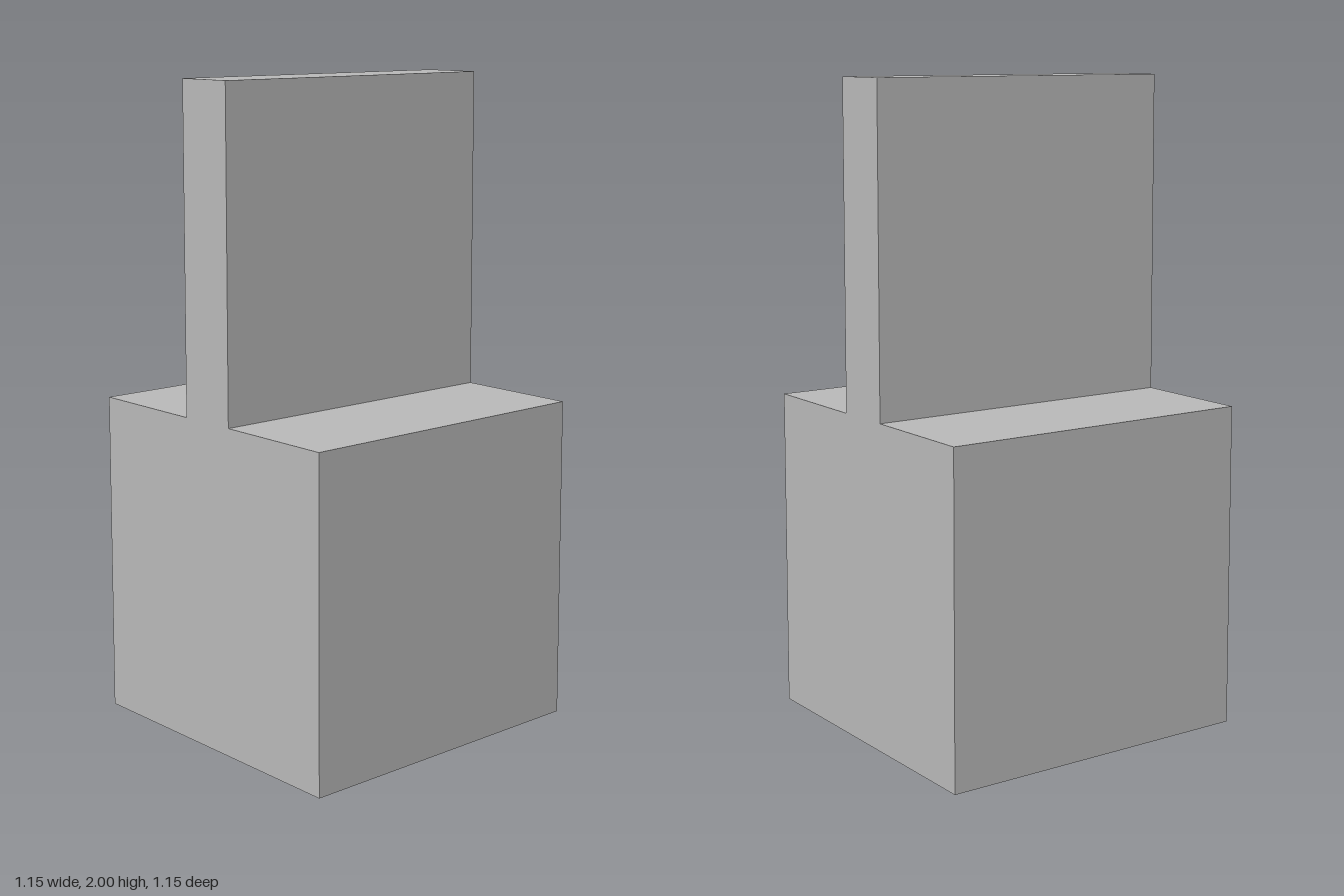
import * as THREE from 'three';

export function createModel() {
  const group = new THREE.Group();
  group.name = 'slantedBlockSeat';
  const grey = new THREE.MeshStandardMaterial({ color: 0xb8b8b8 });
  grey.name = 'grey';

  // Side profile: square base with a thin upright panel in the middle
  const base = 0.5, panel = 0.1;
  const profile = new THREE.Shape([
    [-base, 0], [base, 0], [base, 1], [panel, 1],
    [panel, 2], [-panel, 2], [-panel, 1], [-base, 1],
  ].map(([z, y]) => new THREE.Vector2(z, y)));

  // Unit-wide solid running along x
  const geometry = new THREE.ExtrudeGeometry(profile, { depth: 1, bevelEnabled: false });
  geometry.translate(0, 0, -0.5);
  geometry.rotateY(-Math.PI / 2);

  // Skew the square plan into a rhombus, stretched along one diagonal
  const a = 1.075, b = -0.075;
  geometry.applyMatrix4(new THREE.Matrix4().set(
    a, 0, b, 0,
    0, 1, 0, 0,
    b, 0, a, 0,
    0, 0, 0, 1,
  ));
  geometry.computeVertexNormals();

  const body = new THREE.Mesh(geometry, grey);
  body.name = 'baseAndUprightPanel';
  group.add(body);
  return group;
}
